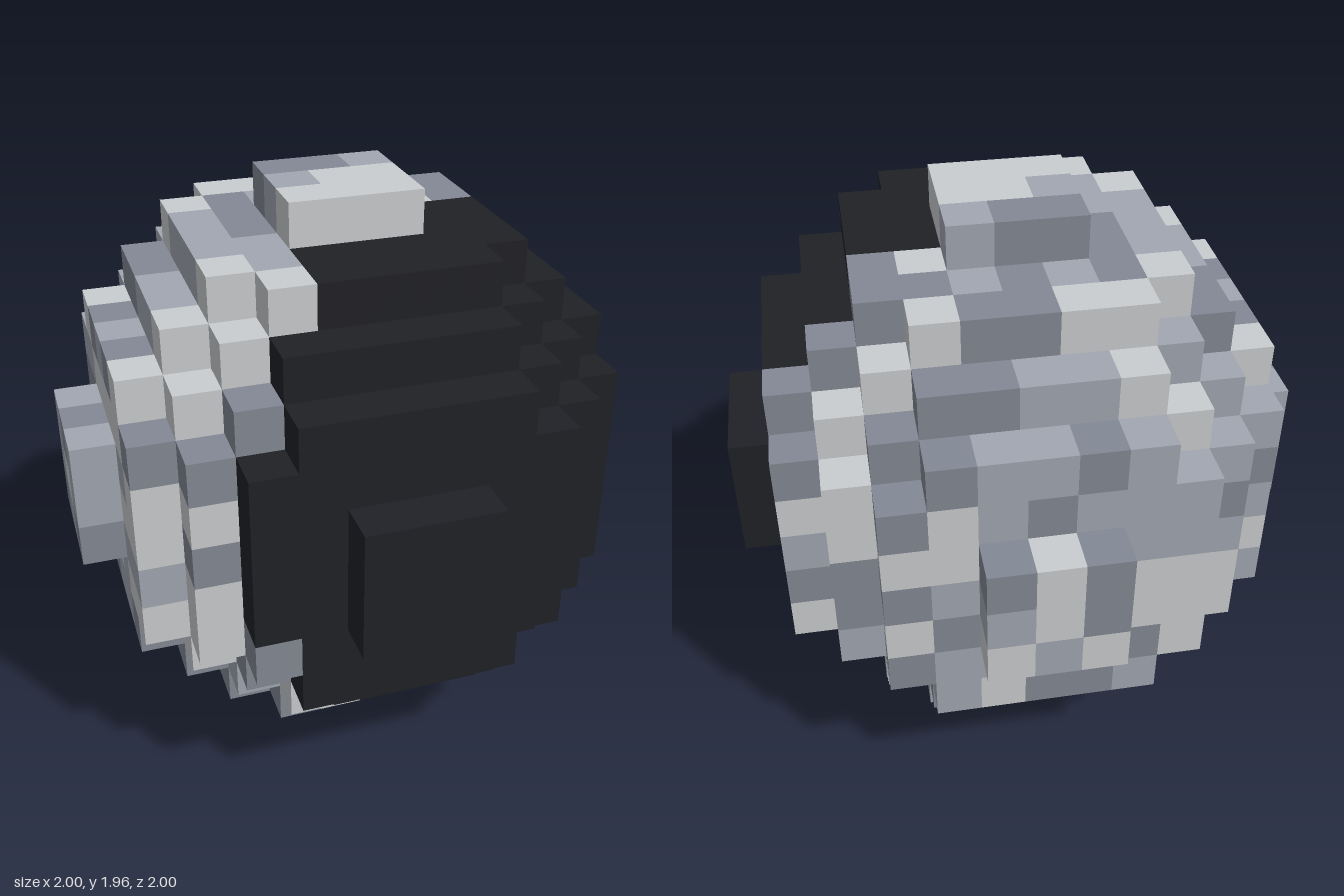
import * as THREE from 'three';
import { mergeGeometries } from 'three/addons/utils/BufferGeometryUtils.js';

const S = 0.151;      // block size
const R2 = 38;        // squared radius in blocks
const N = 6;          // blocks from centre to each cap

const TONES = [
  { name: 'darkPatch', color: 0x202126 },
  { name: 'paleBlocks', color: 0xcacdcf },
  { name: 'midBlocks', color: 0xa1a7b2 },
  { name: 'deepBlocks', color: 0x838995 },
];

// Where the dark patch starts in each layer, from the lowest layer (-5) to the highest (5)
const PATCH_START = [0, -1, -2, -2, -3, -3, -3, -3, -2, -2, -1];

const filled = (x, y, z) => x * x + y * y + z * z <= R2;

// Six face directions, each with the turn that points a plane that way
const FACES = [
  { d: [1, 0, 0], r: [0, Math.PI / 2] },
  { d: [-1, 0, 0], r: [0, -Math.PI / 2] },
  { d: [0, 1, 0], r: [-Math.PI / 2, 0] },
  { d: [0, -1, 0], r: [Math.PI / 2, 0] },
  { d: [0, 0, 1], r: [0, 0] },
  { d: [0, 0, -1], r: [0, Math.PI] },
];

function seeded(seed) {
  let s = seed;
  return () => (s = (s * 16807) % 2147483647) / 2147483647;
}

export function createModel() {
  const group = new THREE.Group();
  group.name = 'blockBall';
  const random = seeded(4711);
  const parts = TONES.map(() => []);

  // Dark quarter on the front left, mottled stone elsewhere
  const toneOf = (x, y, z) => {
    const pick = random();
    const start = PATCH_START[y + 5];
    if (Math.abs(y) < N && x >= start && z >= start + 1) return 0;
    return pick < 0.33 ? 1 : pick < 0.7 ? 2 : 3;
  };

  // Collect only the exposed faces of every block in the ball
  for (let y = -N; y <= N; y++) {
    for (let x = -N; x <= N; x++) {
      for (let z = -N; z <= N; z++) {
        if (!filled(x, y, z)) continue;
        const open = FACES.filter(({ d }) => !filled(x + d[0], y + d[1], z + d[2]));
        if (!open.length) continue;
        const tone = toneOf(x, y, z);
        for (const { d, r } of open) {
          const face = new THREE.PlaneGeometry(S, S);
          face.rotateX(r[0]).rotateY(r[1]);
          face.translate((x + d[0] / 2) * S, (y + d[1] / 2 + N + 0.5) * S, (z + d[2] / 2) * S);
          parts[tone].push(face);
        }
      }
    }
  }

  // One mesh per tone
  TONES.forEach(({ name, color }, i) => {
    const material = new THREE.MeshStandardMaterial({ color, flatShading: true });
    const mesh = new THREE.Mesh(mergeGeometries(parts[i]), material);
    mesh.name = name;
    // The whole ball is turned slightly about the vertical
    mesh.rotation.y = -0.108;
    group.add(mesh);
  });
  return group;
}
